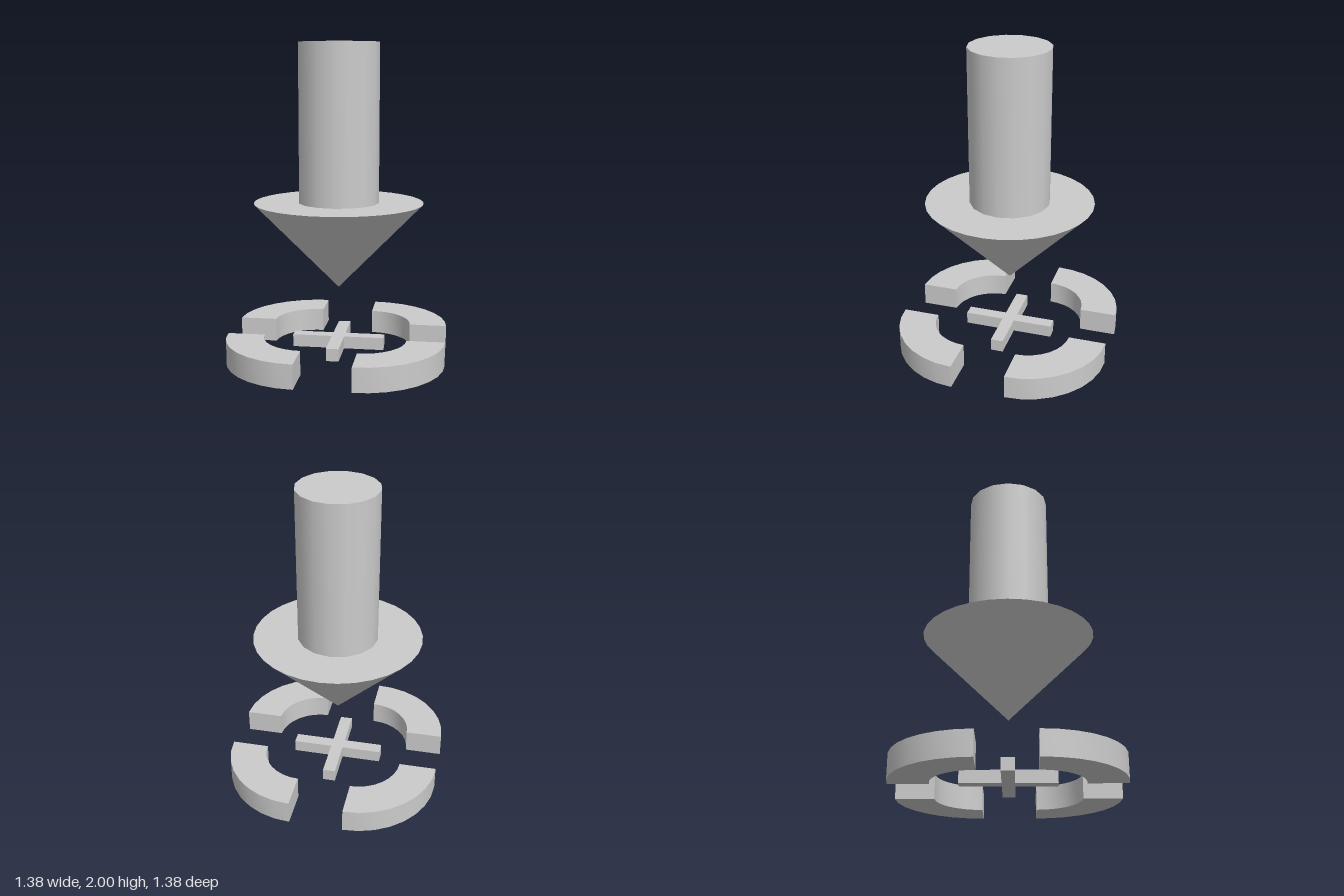
import * as THREE from 'three';
import { toCreasedNormals } from 'three/addons/utils/BufferGeometryUtils.js';

export function createModel() {
  const model = new THREE.Group();
  model.name = 'arrowMarker';
  const material = new THREE.MeshStandardMaterial({ color: 0xcccccc });

  function add(name, geometry, y, parent = model) {
    const mesh = new THREE.Mesh(geometry, material);
    mesh.name = name;
    mesh.position.y = y;
    parent.add(mesh);
    return mesh;
  }

  // Downward arrow: round shaft and pointed head
  const arrow = new THREE.Group();
  arrow.name = 'arrow';
  model.add(arrow);
  add('arrowShaft', new THREE.CylinderGeometry(0.257, 0.257, 1.005, 16), 1.4975, arrow);
  add('arrowHead', new THREE.CylinderGeometry(0.54, 0, 0.555, 32), 0.7175, arrow);

  // Small cross at the centre of the target
  const cross = new THREE.Group();
  cross.name = 'centreCross';
  model.add(cross);
  const barLength = 0.59, barSize = 0.08;
  add('crossBarX', new THREE.BoxGeometry(barLength, barSize, barSize), 0.08, cross);
  add('crossBarZ', new THREE.BoxGeometry(barSize, barSize, barLength), 0.08, cross);

  // Quarter ring pushed outward from the centre, so the four leave a gap
  const gap = 0.172, outer = 0.52, inner = 0.28, height = 0.153;
  const shape = new THREE.Shape();
  shape.absarc(gap, gap, outer, 0, Math.PI / 2, false);
  shape.absarc(gap, gap, inner, Math.PI / 2, 0, true);
  const extruded = new THREE.ExtrudeGeometry(shape, {
    depth: height, bevelEnabled: false, curveSegments: 4,
  });
  extruded.rotateX(-Math.PI / 2);
  const segmentGeometry = toCreasedNormals(extruded, Math.PI / 6);

  const ring = new THREE.Group();
  ring.name = 'targetRing';
  model.add(ring);
  for (let i = 0; i < 4; i++) {
    add('ringSegment' + (i + 1), segmentGeometry, 0, ring).rotation.y = i * Math.PI / 2;
  }

  return model;
}
